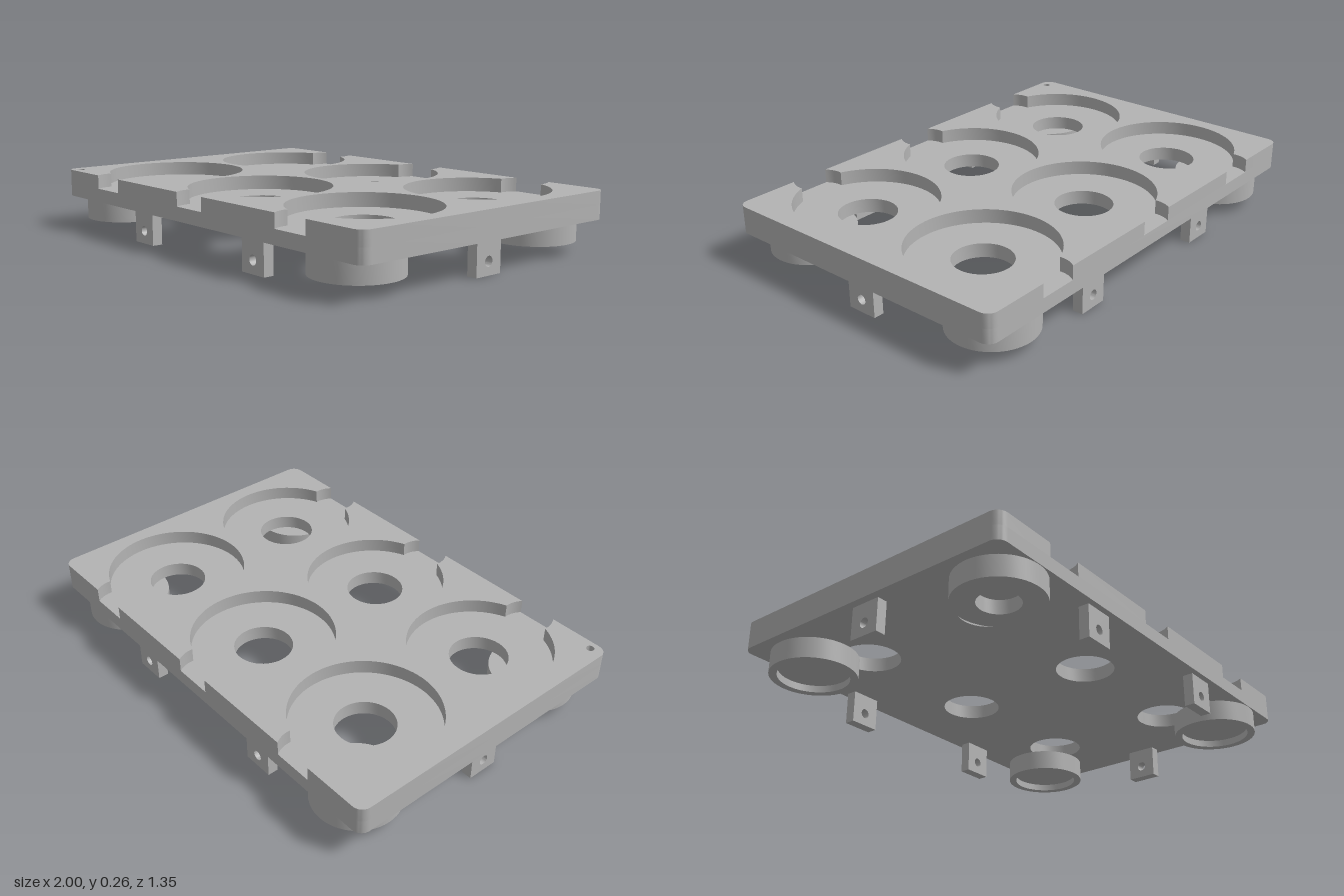
import * as THREE from 'three';
import { toCreasedNormals } from 'three/addons/utils/BufferGeometryUtils.js';

const W = 1, D = 0.675, CORNER = 0.045;          // plate half sizes
const COLS = [-0.63, 0, 0.63], ROW = 0.316;      // pocket centres
const POCKET_R = 0.302, NOTCH_R = 0.107, NOTCH_Z = 0.61;

export function createModel() {
  const model = new THREE.Group();
  const grey = new THREE.MeshStandardMaterial({ color: 0xb3b3b3 });
  grey.name = 'plain grey';

  function add(geometry, name, parent = model) {
    const mesh = new THREE.Mesh(toCreasedNormals(geometry, 0.5), grey);
    mesh.name = name;
    parent.add(mesh);
    return mesh;
  }

  function arc(cx, cy, r, a0, a1, n) {
    return Array.from({ length: n + 1 }, (_, i) => {
      const a = a0 + (a1 - a0) * i / n;
      return new THREE.Vector2(cx + r * Math.cos(a), cy + r * Math.sin(a));
    });
  }

  function circleHole(x, y, r, n = 48) {
    return new THREE.Path(arc(x, y, r, 0, Math.PI * 2, n).slice(0, -1));
  }

  // Horizontal slab: shape y becomes z, thickness runs down from the top
  function slab(shape, top, depth) {
    const g = new THREE.ExtrudeGeometry(shape, { depth, bevelEnabled: false });
    return g.rotateX(Math.PI / 2).translate(0, top, 0);
  }

  // Half outline from left to right; the other half is its half turn
  function outline(withPockets) {
    const half = arc(-W + CORNER, D - CORNER, CORNER, Math.PI, Math.PI / 2, 8);
    if (withPockets) {
      const d = NOTCH_Z - ROW;
      const a = (POCKET_R ** 2 - NOTCH_R ** 2 + d * d) / (2 * d);
      const h = Math.sqrt(POCKET_R ** 2 - a * a);
      const edge = Math.asin((D - NOTCH_Z) / NOTCH_R);
      const meet = Math.atan2(a - d, h);
      const t = Math.atan2(a, -h);
      for (const x of COLS) {
        half.push(
          ...arc(x, NOTCH_Z, NOTCH_R, Math.PI - edge, Math.PI - meet, 8),
          ...arc(x, ROW, POCKET_R, t, 3 * Math.PI - t, 72).slice(1, -1),
          ...arc(x, NOTCH_Z, NOTCH_R, meet, edge, 8));
      }
    }
    half.push(...arc(W - CORNER, D - CORNER, CORNER, Math.PI / 2, 0, 8));
    return new THREE.Shape([...half, ...half.map(p => p.clone().negate())]);
  }

  // Lower layer with six round drain holes
  const base = outline(false);
  for (const x of COLS) for (const s of [-1, 1]) base.holes.push(circleHole(x, s * ROW, 0.123));
  add(slab(base, 0.2, 0.06), 'plateBase');

  // Upper layer with open pockets and a small blind marker hole
  const rim = outline(true);
  rim.holes.push(circleHole(-0.94, 0.637, 0.017, 20));
  add(slab(rim, 0.26, 0.06), 'pocketLayer');

  // Round feet, hollowed from below; one has a narrower, deeper bore
  for (const sx of [-1, 1]) for (const sz of [-1, 1]) {
    const narrow = sx < 0 && sz > 0;
    const r = narrow ? 0.085 : 0.148, floor = narrow ? 0.11 : 0.08;
    const profile = [[0, floor], [r, floor], [r, 0.05], [0.181, 0.05], [0.181, 0.14], [0, 0.14]]
      .map(p => new THREE.Vector2(...p));
    add(new THREE.LatheGeometry(profile, 56), 'foot').position.set(sx * 0.777, 0, sz * 0.491);
  }

  // Drilled tabs below the plate
  function tab(x, z, turn) {
    const s = new THREE.Shape();
    s.moveTo(-0.067, 0).lineTo(0.067, 0).lineTo(0.067, 0.14).lineTo(-0.067, 0.14).closePath();
    s.holes.push(circleHole(0, 0.055, 0.021, 24));
    const g = new THREE.ExtrudeGeometry(s, { depth: 0.045, bevelEnabled: false });
    const mesh = add(g.translate(0, 0, -0.0225), 'mountingTab');
    mesh.position.set(x, 0, z);
    mesh.rotation.y = turn;
  }
  for (const s of [-1, 1]) {
    tab(s * 0.944, 0, Math.PI / 2);
    for (const x of [-0.38, 0.38]) tab(x, s * 0.627, 0);
  }
  return model;
}
